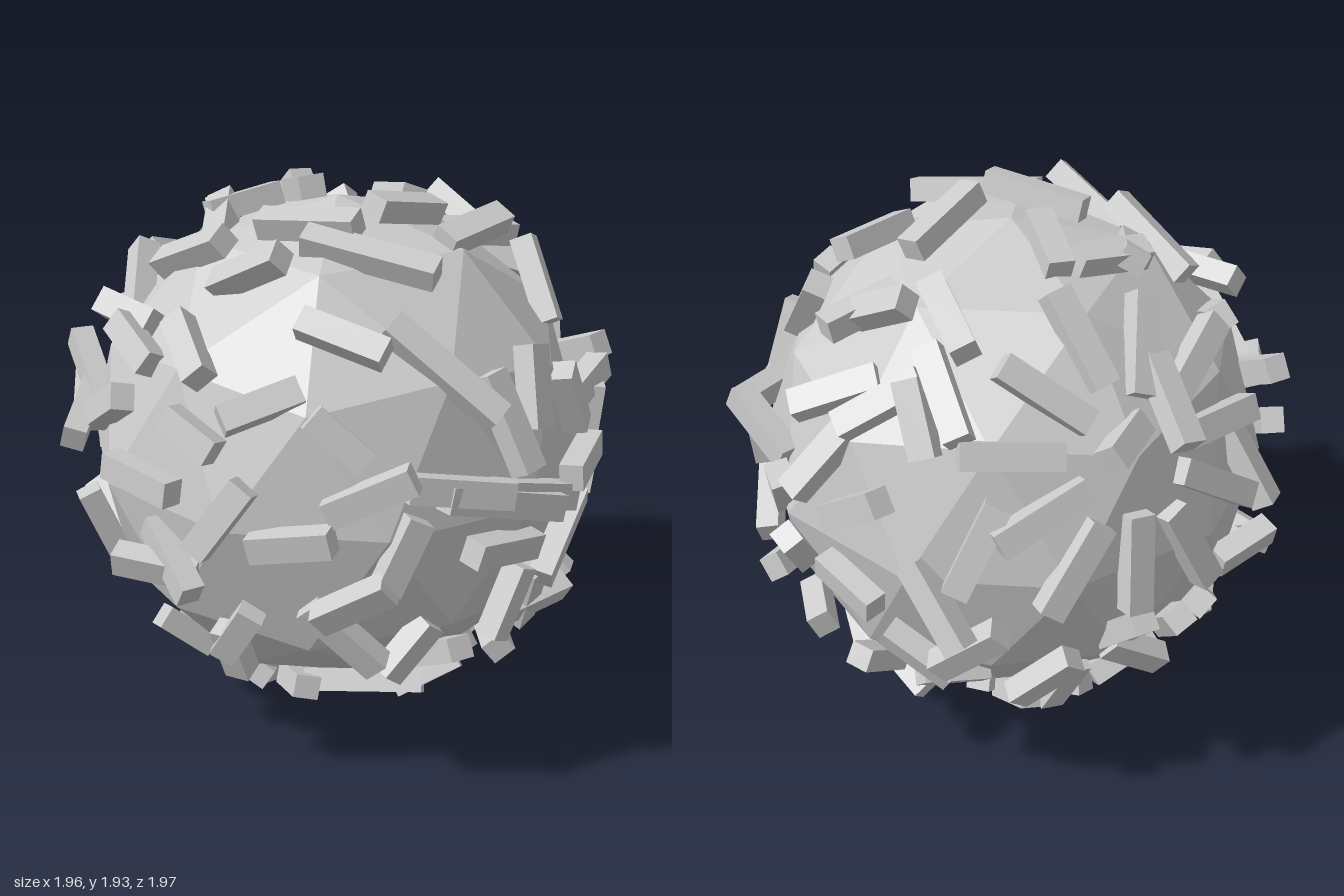
import * as THREE from 'three';

const RADIUS = 0.88;
const CENTER = new THREE.Vector3(0, 1, -0.03);

// Prominent studs by side: both ends (u, v, u, v) on that side's plane, the second end raised
const FEATURED = [
  { name: 'frontStud', az: 0, el: 0, ends: [
    -0.31, 0.6, -0.12, 0.47, 0.62, 0.15, 0.9, -0.03, -0.61, -0.37, -0.68, -0.11,
    -0.46, -0.67, -0.1, -0.84, 0.09, -0.79, 0.47, -0.72, -0.24, -0.65, -0.36, -0.5,
    -0.69, 0.16, -0.42, 0.34, 0.45, 0.27, 0.27, 0.41, -0.2, 0.09, -0.47, 0.11] },
  { name: 'rightStud', az: 90, el: 0, ends: [
    -0.65, 0.18, -0.38, 0.1, -0.4, 0.1, -0.08, -0.01, -0.29, 0.47, -0.3, 0.15,
    -0.45, 0.65, -0.37, 0.34, 0.14, -0.11, -0.16, -0.3, 0.28, -0.12, 0.58, -0.25,
    0.11, -0.67, 0.17, -0.38, -0.18, 0.26, -0.08, 0.5, 0.14, 0.16, 0.04, 0.38,
    -0.22, -0.15, -0.51, -0.07] },
  { name: 'topStud', az: 0, el: 90, ends: [
    0.28, 0.24, 0.18, -0.08, 0.01, -0.3, 0.5, -0.23, -0.17, -0.22, 0.19, -0.21,
    -0.55, -0.25, -0.22, -0.36, 0.13, 0.4, -0.09, 0.6, -0.25, 0.2, -0.09, 0.02] },
];

// Small seeded generator so the scatter is always the same
function seeded(seed) {
  let state = seed;
  return () => (state = (state * 16807) % 2147483647) / 2147483647;
}

// Right, up and outward axes of one side of the ball
function sideAxes(azDeg, elDeg) {
  const az = THREE.MathUtils.degToRad(azDeg), el = THREE.MathUtils.degToRad(elDeg);
  const out = new THREE.Vector3(Math.sin(az) * Math.cos(el), Math.sin(el), Math.cos(az) * Math.cos(el));
  const right = new THREE.Vector3(Math.cos(az), 0, -Math.sin(az));
  return { out, right, up: out.clone().cross(right) };
}

// Raise a point of the side's plane onto the ball
function lift({ out, right, up }, u, v) {
  const a = u + 0.03 * right.z, b = v + 0.03 * up.z;
  const depth = Math.sqrt(Math.max(0.91 ** 2 - a * a - b * b, 0));
  return new THREE.Vector3().addScaledVector(right, a).addScaledVector(up, b).addScaledVector(out, depth);
}

// A block on the surface: outward normal, long direction, length, distance from the middle, lean outward
function makeStud(name, material, normal, direction, length, distance, tilt) {
  const along = direction.clone().projectOnPlane(normal).normalize();
  const across = along.clone().cross(normal);
  const stud = new THREE.Mesh(new THREE.BoxGeometry(length, 0.08, 0.09), material);
  stud.name = name;
  stud.quaternion.setFromRotationMatrix(new THREE.Matrix4().makeBasis(along, normal, across));
  stud.rotateZ(tilt);
  stud.position.copy(normal).multiplyScalar(distance).add(CENTER);
  return stud;
}

export function createModel() {
  const model = new THREE.Group();
  const material = new THREE.MeshStandardMaterial({ color: 0xcccccc, flatShading: true });

  // Faceted ball with a corner pointing straight up
  const ballGeometry = new THREE.IcosahedronGeometry(RADIUS, 1);
  ballGeometry.rotateZ(Math.atan(2 / (1 + Math.sqrt(5)))).rotateY(Math.PI);
  const ball = new THREE.Mesh(ballGeometry, material);
  ball.name = 'ball';
  ball.position.copy(CENTER);
  model.add(ball);

  const studs = new THREE.Group();
  studs.name = 'studs';
  model.add(studs);

  // Prominent studs on the front, right and top
  for (const { name, az, el, ends } of FEATURED) {
    const axes = sideAxes(az, el);
    for (let i = 0; i < ends.length; i += 4) {
      const p = lift(axes, ends[i], ends[i + 1]), q = lift(axes, ends[i + 2], ends[i + 3]);
      const length = THREE.MathUtils.clamp(p.distanceTo(q), 0.2, 0.46);
      const normal = p.clone().add(q).normalize();
      studs.add(makeStud(name, material, normal, q.sub(p), length, 0.88, 0.12));
    }
  }

  // Ring of studs radiating from a corner at the back left, outer ends raised
  const hub = new THREE.Vector3(-0.724, 0.447, -0.526).normalize();
  const hubSide = new THREE.Vector3(0, 1, 0).cross(hub).normalize();
  for (let i = 0; i < 11; i++) {
    const spoke = hubSide.clone().applyAxisAngle(hub, (i / 11) * Math.PI * 2);
    const spread = 0.42 + 0.06 * (i % 2);
    const normal = hub.clone().multiplyScalar(Math.cos(spread)).addScaledVector(spoke, Math.sin(spread));
    studs.add(makeStud('radiatingStud', material, normal, spoke, 0.34, 0.87, 0.2));
  }

  // Tilted stud underneath that reaches the ground
  const below = new THREE.Vector3(-0.045, -1, -0.05).normalize();
  studs.add(makeStud('groundStud', material, below, new THREE.Vector3(-0.1, 0, -1), 0.38, 0.91, 0.3));

  // Scatter over the rest of the ball, on a jittered spiral that skips taken places
  const random = seeded(4711);
  const taken = studs.children.map((stud) => stud.position);
  const count = 130;
  for (let i = 0; i < count; i++) {
    const y = 1 - (2 * i + 1) / count;
    const turn = i * Math.PI * (3 - Math.sqrt(5));
    const ring = Math.sqrt(1 - y * y);
    const jitter = () => (random() - 0.5) * 0.28;
    const normal = new THREE.Vector3(ring * Math.cos(turn) + jitter(), y + jitter(), ring * Math.sin(turn) + jitter()).normalize();
    const direction = new THREE.Vector3(random() - 0.5, random() - 0.5, random() - 0.5);
    const length = 0.2 + 0.14 * random();
    const tilt = 0.1 + 0.4 * random();
    // Studs near the ground lie flatter
    const lean = normal.y < -0.75 ? 0.1 : tilt;
    const stud = makeStud('scatteredStud', material, normal, direction, length, 0.87 + 0.04 * random(), lean);
    if (taken.every((place) => place.distanceTo(stud.position) > 0.2)) studs.add(stud);
  }
  return model;
}
